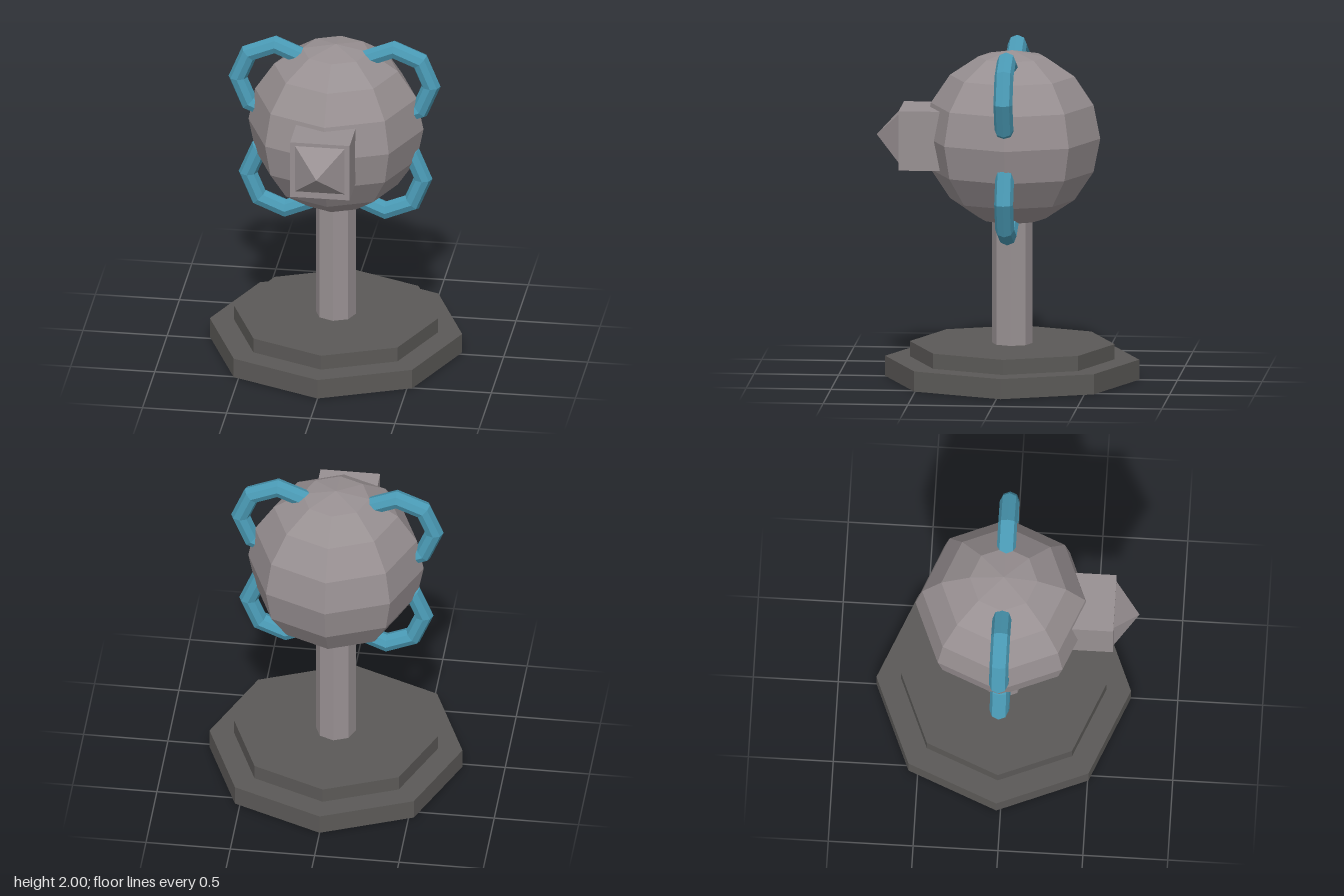
import * as THREE from 'three';

export function createModel() {
  const model = new THREE.Group();
  const stone = new THREE.MeshStandardMaterial({ name: 'warm grey', color: 0x989092, flatShading: true });
  const dark = new THREE.MeshStandardMaterial({ name: 'dark grey', color: 0x5b5957, flatShading: true });
  const blue = new THREE.MeshStandardMaterial({ name: 'teal blue', color: 0x4a9ab5, flatShading: true });
  const axisZ = -0.025; // the round parts share this upright axis

  function add(name, geometry, material, x, y, z) {
    const mesh = new THREE.Mesh(geometry, material);
    mesh.name = name;
    mesh.position.set(x, y, z);
    model.add(mesh);
    return mesh;
  }

  // Eight-sided stepped base and post
  add('lowerBase', new THREE.CylinderGeometry(0.75, 0.75, 0.12, 8), dark, 0, 0.06, axisZ);
  add('upperBase', new THREE.CylinderGeometry(0.605, 0.605, 0.09, 8), dark, 0, 0.165, axisZ);
  add('post', new THREE.CylinderGeometry(0.12, 0.12, 0.8, 8), stone, 0, 0.61, axisZ);

  // Faceted head
  add('head', new THREE.SphereGeometry(0.52, 8, 8), stone, 0, 1.435, axisZ);

  // Snout block with a pyramid tip
  add('snoutBlock', new THREE.BoxGeometry(0.354, 0.354, 0.354), stone, 0, 1.433, 0.453);
  const pyramid = new THREE.ConeGeometry(0.147 * Math.SQRT2, 0.145, 4);
  pyramid.rotateY(Math.PI / 4).rotateX(Math.PI / 2);
  add('snoutTip', pyramid, stone, 0, 1.441, 0.7025);

  // Rings sunk into the head, two on each side
  const rings = [
    ['upperLeftRing', 0.344, 1.722],
    ['upperRightRing', -0.36, 1.707],
    ['lowerLeftRing', 0.296, 1.118],
    ['lowerRightRing', -0.3, 1.092],
  ];
  const ring = new THREE.TorusGeometry(0.222, 0.056, 8, 8);
  for (const [name, x, y] of rings) add(name, ring, blue, x, y, -0.022);

  return model;
}
